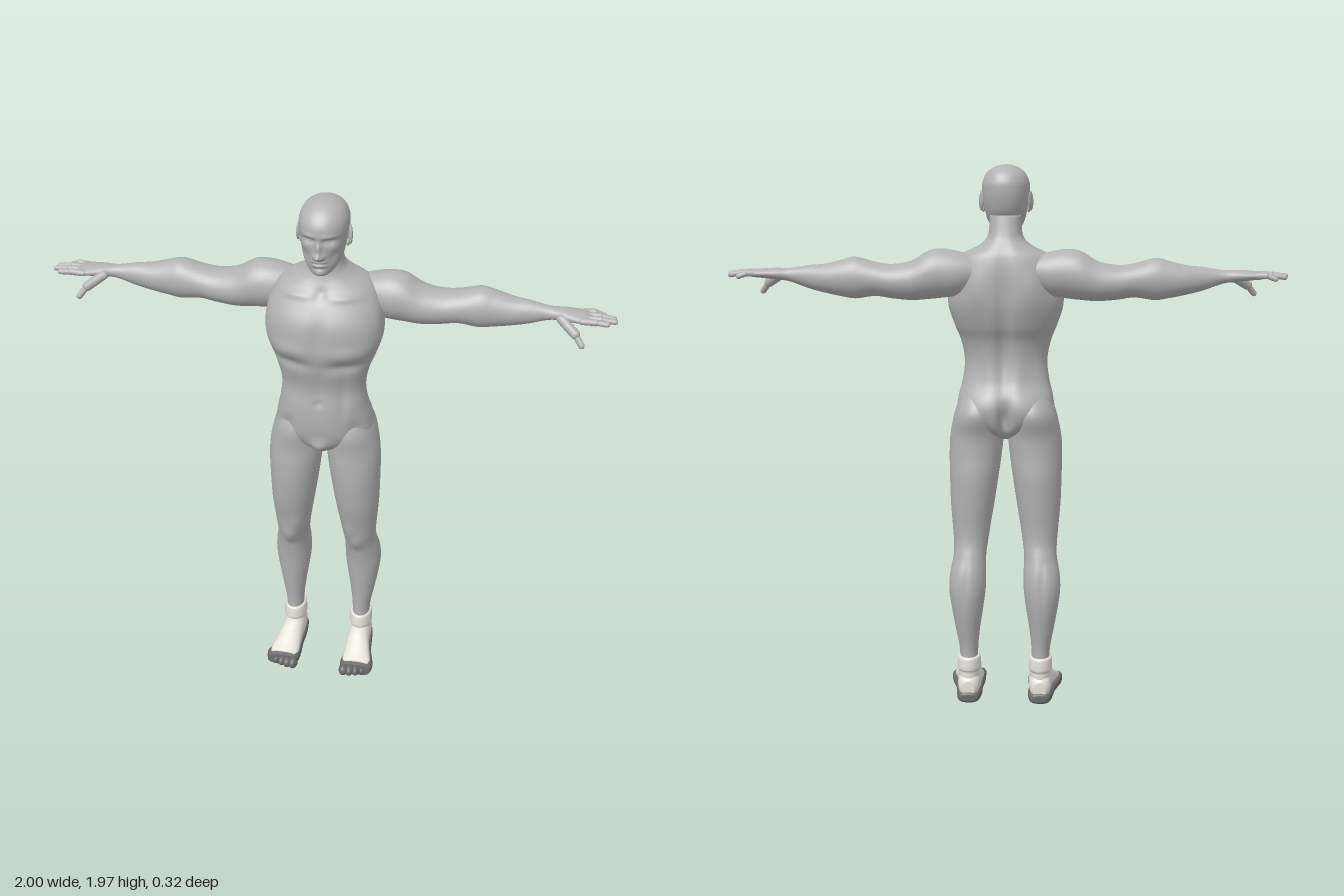
import * as THREE from 'three';

const skin = new THREE.MeshStandardMaterial({ color: 0xb2b2b2 });
skin.name = 'grey skin';
const cloth = new THREE.MeshStandardMaterial({ color: 0xe4e2d8 });
cloth.name = 'off-white cloth';
const rubber = new THREE.MeshStandardMaterial({ color: 0x6c6c6c });
rubber.name = 'dark sole';

// Smooth value through the rows (uniform Catmull-Rom on every column)
function sampleRows(rows, s) {
  const n = rows.length - 1;
  const i = Math.min(n - 1, Math.floor(s * n));
  const f = s * n - i;
  const [a, b, c, d] = [i - 1, i, i + 1, i + 2].map((k) => rows[Math.max(0, Math.min(n, k))]);
  return b.map((_, k) => 0.5 * (2 * b[k] + (c[k] - a[k]) * f
    + (2 * a[k] - 5 * b[k] + 4 * c[k] - d[k]) * f * f
    + (3 * b[k] - a[k] - 3 * c[k] + d[k]) * f * f * f));
}

// Loft of superellipse sections. Row: [along axis, side centre, side half width, depth max, depth min].
// Bump: [|x|, y, width, height, amount, front 1 or back -1], pushes the surface in z.
function loft(rows, { axis = 'y', seg = 40, steps = 6, power = 2, bumps = [] } = {}) {
  const pos = [], index = [];
  const place = (t, u, v) => {
    if (axis === 'y') pos.push(u, t, v);
    else if (axis === 'x') pos.push(t, v, u);
    else pos.push(u, v, t);
  };
  const count = (rows.length - 1) * steps;
  const curve = (c) => Math.sign(c) * Math.abs(c) ** (2 / power);
  for (let j = 0; j <= count; j++) {
    const [t, cu, hu, v1, v0] = sampleRows(rows, j / count);
    for (let i = 0; i < seg; i++) {
      const a = (i / seg) * Math.PI * 2;
      const u = cu + hu * curve(Math.cos(a));
      let v = (v1 + v0) / 2 + ((v1 - v0) / 2) * curve(Math.sin(a));
      for (const [bx, by, sx, sy, amount, side] of bumps) {
        const facing = Math.min(1, Math.max(0, side * Math.sin(a)) * 2);
        v += side * amount * facing * Math.exp(-(((Math.abs(u) - bx) / sx) ** 2) - ((t - by) / sy) ** 2);
      }
      place(t, u, v);
    }
  }
  const tri = (a, b, c) => (axis === 'z' ? index.push(a, c, b) : index.push(a, b, c));
  for (let j = 0; j < count; j++) for (let i = 0; i < seg; i++) {
    const a = j * seg + i, b = j * seg + (i + 1) % seg;
    tri(a, a + seg, b);
    tri(b, a + seg, b + seg);
  }
  // End caps
  const first = rows[0], last = rows[rows.length - 1];
  place(first[0], first[1], (first[3] + first[4]) / 2);
  place(last[0], last[1], (last[3] + last[4]) / 2);
  const low = (count + 1) * seg, base = count * seg;
  for (let i = 0; i < seg; i++) {
    const k = (i + 1) % seg;
    tri(low, i, k);
    tri(low + 1, base + k, base + i);
  }
  const g = new THREE.BufferGeometry();
  g.setAttribute('position', new THREE.Float32BufferAttribute(pos, 3));
  g.setIndex(index);
  g.computeVertexNormals();
  return g;
}

function ellipsoid(x, y, z, rx, ry, rz) {
  return new THREE.SphereGeometry(1, 20, 14).scale(rx, ry, rz).translate(x, y, z);
}

// Rounded segment between two points
function capsule(a, b, r) {
  const p = new THREE.Vector3(...a), q = new THREE.Vector3(...b);
  const dir = q.clone().sub(p);
  const g = new THREE.CapsuleGeometry(r, dir.length(), 6, 14);
  g.applyQuaternion(new THREE.Quaternion().setFromUnitVectors(new THREE.Vector3(0, 1, 0), dir.normalize()));
  return g.translate(...p.add(q).multiplyScalar(0.5).toArray());
}

function mirrored(geometry) {
  const g = geometry.clone().scale(-1, 1, 1);
  const ix = g.index.array;
  for (let i = 0; i < ix.length; i += 3) [ix[i], ix[i + 1]] = [ix[i + 1], ix[i]];
  g.computeVertexNormals();
  return g;
}

export function createModel() {
  const model = new THREE.Group();
  model.name = 'figure';
  const add = (name, geometry, material) => {
    const m = new THREE.Mesh(geometry, material);
    m.name = name;
    model.add(m);
  };
  const addPair = (name, geometry, material) => {
    add('left ' + name, geometry, material);
    add('right ' + name, mirrored(geometry), material);
  };

  // Torso and neck, with chest, belly, back and hip modelling
  add('torso', loft([
    [0.985, 0, 0.02, 0.05, -0.06], [1.02, 0, 0.1, 0.085, -0.112], [1.07, 0, 0.172, 0.108, -0.132],
    [1.13, 0, 0.173, 0.118, -0.13], [1.2, 0, 0.157, 0.118, -0.098], [1.27, 0, 0.15, 0.112, -0.086],
    [1.34, 0, 0.163, 0.126, -0.1], [1.4, 0, 0.186, 0.142, -0.13], [1.47, 0, 0.207, 0.148, -0.15],
    [1.54, 0, 0.205, 0.14, -0.154], [1.6, 0, 0.19, 0.108, -0.152], [1.65, 0, 0.158, 0.072, -0.142],
    [1.685, 0, 0.093, 0.053, -0.124], [1.72, 0, 0.062, 0.045, -0.107], [1.79, 0, 0.056, 0.04, -0.088],
  ], {
    seg: 80, steps: 8, power: 2.3, bumps: [
      [0, 1.5, 0.018, 0.08, -0.012, 1], [0.1, 1.44, 0.07, 0.025, 0.008, 1], [0.1, 1.385, 0.08, 0.022, -0.014, 1],
      [0, 1.28, 0.012, 0.1, -0.006, 1], [0.085, 1.25, 0.015, 0.1, -0.007, 1], [0, 1.22, 0.012, 0.012, -0.008, 1],
      [0.12, 1.1, 0.03, 0.05, -0.012, 1], [0, 1.035, 0.03, 0.03, 0.022, 1],
      [0.09, 1.632, 0.06, 0.012, 0.009, 1], [0, 1.635, 0.016, 0.02, -0.012, 1],
      [0, 1.4, 0.022, 0.2, -0.02, -1], [0.1, 1.53, 0.045, 0.07, 0.01, -1], [0.05, 1.25, 0.03, 0.09, 0.008, -1],
      [0, 1.06, 0.016, 0.06, -0.045, -1], [0.08, 1.1, 0.05, 0.045, 0.008, -1],
    ],
  }), skin);

  // Head, with brow, eye sockets, nose, lips and chin
  add('head', loft([
    [1.712, 0, 0.012, 0.08, 0.04], [1.72, 0, 0.032, 0.093, 0.015], [1.74, 0, 0.05, 0.1, -0.02],
    [1.77, 0, 0.066, 0.106, -0.055], [1.8, 0, 0.074, 0.108, -0.08], [1.84, 0, 0.081, 0.11, -0.095],
    [1.88, 0, 0.085, 0.114, -0.101], [1.91, 0, 0.082, 0.105, -0.098], [1.94, 0, 0.066, 0.08, -0.08],
    [1.96, 0, 0.036, 0.046, -0.047], [1.967, 0, 0.006, 0.01, -0.01],
  ], {
    seg: 112, steps: 10, power: 2.15, bumps: [
      [0, 1.797, 0.011, 0.013, 0.024, 1], [0, 1.825, 0.008, 0.024, 0.016, 1], [0.013, 1.793, 0.007, 0.008, 0.01, 1],
      [0.033, 1.851, 0.018, 0.01, -0.015, 1], [0.032, 1.85, 0.011, 0.006, 0.006, 1],
      [0.032, 1.868, 0.025, 0.008, 0.005, 1], [0, 1.774, 0.02, 0.005, 0.007, 1], [0, 1.767, 0.022, 0.003, -0.006, 1],
      [0, 1.76, 0.017, 0.005, 0.007, 1], [0, 1.747, 0.02, 0.006, -0.005, 1], [0, 1.728, 0.02, 0.01, 0.005, 1],
      [0.045, 1.785, 0.016, 0.025, -0.007, 1], [0.055, 1.825, 0.015, 0.014, 0.005, 1],
    ],
  }), skin);
  const ear = ellipsoid(0, 0, 0, 0.008, 0.036, 0.02).rotateX(-0.2).rotateY(0.35);
  addPair('ear', ear.translate(0.087, 1.84, 0.0), skin);
  addPair('ear lobe', ellipsoid(0.081, 1.812, 0.008, 0.007, 0.013, 0.01), skin);

  // Arm and palm, reaching out sideways
  addPair('arm', loft([
    [0.1, -0.078, 0.055, 1.645, 1.54], [0.16, -0.076, 0.074, 1.664, 1.51], [0.22, -0.075, 0.081, 1.674, 1.5],
    [0.27, -0.077, 0.082, 1.667, 1.495], [0.33, -0.078, 0.078, 1.632, 1.491], [0.4, -0.08, 0.071, 1.619, 1.497],
    [0.46, -0.08, 0.066, 1.626, 1.505], [0.53, -0.08, 0.064, 1.644, 1.496], [0.58, -0.08, 0.058, 1.634, 1.503],
    [0.64, -0.077, 0.049, 1.619, 1.515], [0.7, -0.072, 0.036, 1.613, 1.53], [0.77, -0.067, 0.026, 1.602, 1.554],
    [0.82, -0.062, 0.036, 1.602, 1.56], [0.88, -0.054, 0.046, 1.598, 1.566], [0.905, -0.052, 0.043, 1.592, 1.568],
    [0.915, -0.052, 0.036, 1.588, 1.572],
  ], { axis: 'x' }), skin);

  // Fingers: [base z, tip z, tip x, tip y]
  [[-0.086, -0.095, 0.95, 1.573], [-0.064, -0.067, 0.985, 1.577], [-0.041, -0.04, 0.99, 1.58], [-0.018, -0.012, 0.965, 1.582]]
    .forEach(([z0, z1, x, y], i) => {
      const mid = [(x + 0.89) / 2, 1.584, (z0 + z1) / 2];
      addPair('finger base ' + (i + 1), capsule([0.88, 1.582, z0], mid, 0.0115), skin);
      addPair('finger tip ' + (i + 1), capsule(mid, [x, y, z1], 0.0095), skin);
    });
  addPair('thumb base', capsule([0.81, 1.575, -0.035], [0.862, 1.543, 0.005], 0.017), skin);
  addPair('thumb tip', capsule([0.862, 1.543, 0.005], [0.887, 1.512, 0.024], 0.011), skin);

  // Leg from hip to ankle, with kneecap
  addPair('leg', loft([
    [1.15, 0.095, 0.065, 0.07, -0.1], [1.08, 0.1, 0.085, 0.098, -0.137], [1.0, 0.105, 0.097, 0.095, -0.115],
    [0.93, 0.11, 0.096, 0.098, -0.112], [0.85, 0.115, 0.09, 0.096, -0.117], [0.75, 0.121, 0.081, 0.083, -0.112],
    [0.66, 0.125, 0.07, 0.06, -0.105], [0.6, 0.127, 0.063, 0.046, -0.108], [0.55, 0.13, 0.06, 0.028, -0.125],
    [0.49, 0.135, 0.066, 0.008, -0.147], [0.43, 0.137, 0.067, -0.003, -0.155], [0.36, 0.137, 0.058, -0.01, -0.15],
    [0.28, 0.136, 0.045, -0.018, -0.135], [0.2, 0.133, 0.034, -0.024, -0.12], [0.12, 0.132, 0.034, -0.022, -0.118],
  ].reverse(), {
    seg: 48, bumps: [
      [0.128, 0.57, 0.025, 0.03, 0.008, 1], [0.128, 0.52, 0.02, 0.02, -0.004, 1],
      [0.1, 0.64, 0.02, 0.04, 0.007, 1], [0.14, 0.47, 0.012, 0.07, -0.006, -1],
    ],
  }), skin);

  // Footwear: ankle cuff, upper, sole and separate toes
  addPair('ankle cuff', loft([
    [0.08, 0.132, 0.038, -0.01, -0.125], [0.105, 0.132, 0.039, -0.012, -0.125], [0.118, 0.132, 0.039, -0.014, -0.125],
    [0.128, 0.132, 0.044, -0.01, -0.13], [0.15, 0.132, 0.043, -0.012, -0.13],
    [0.168, 0.132, 0.041, -0.015, -0.128], [0.174, 0.132, 0.036, -0.02, -0.122],
  ]), cloth);
  addPair('shoe upper', loft([
    [-0.132, 0.132, 0.022, 0.085, 0.025], [-0.11, 0.132, 0.038, 0.11, 0.02], [-0.06, 0.132, 0.043, 0.125, 0.015],
    [-0.01, 0.133, 0.044, 0.12, 0.015], [0.04, 0.138, 0.049, 0.095, 0.015],
    [0.085, 0.143, 0.055, 0.072, 0.015], [0.115, 0.146, 0.054, 0.058, 0.02],
  ], { axis: 'z', power: 2.2 }), cloth);
  addPair('sole', loft([
    [-0.14, 0.132, 0.02, 0.038, 0.012], [-0.125, 0.132, 0.039, 0.045, 0.004], [-0.06, 0.133, 0.047, 0.042, 0],
    [0, 0.137, 0.05, 0.042, 0], [0.06, 0.143, 0.06, 0.048, 0],
    [0.1, 0.146, 0.064, 0.057, 0], [0.13, 0.146, 0.058, 0.05, 0.003],
  ], { axis: 'z', power: 2.8 }), rubber);
  for (let i = 0; i < 5; i++) {
    const r = 0.018 - 0.0015 * i;
    addPair('toe ' + (i + 1), ellipsoid(0.101 + 0.0235 * i, r + 0.007, 0.134 - 0.0025 * i * i, r, r + 0.005, 0.026), rubber);
  }
  return model;
}
